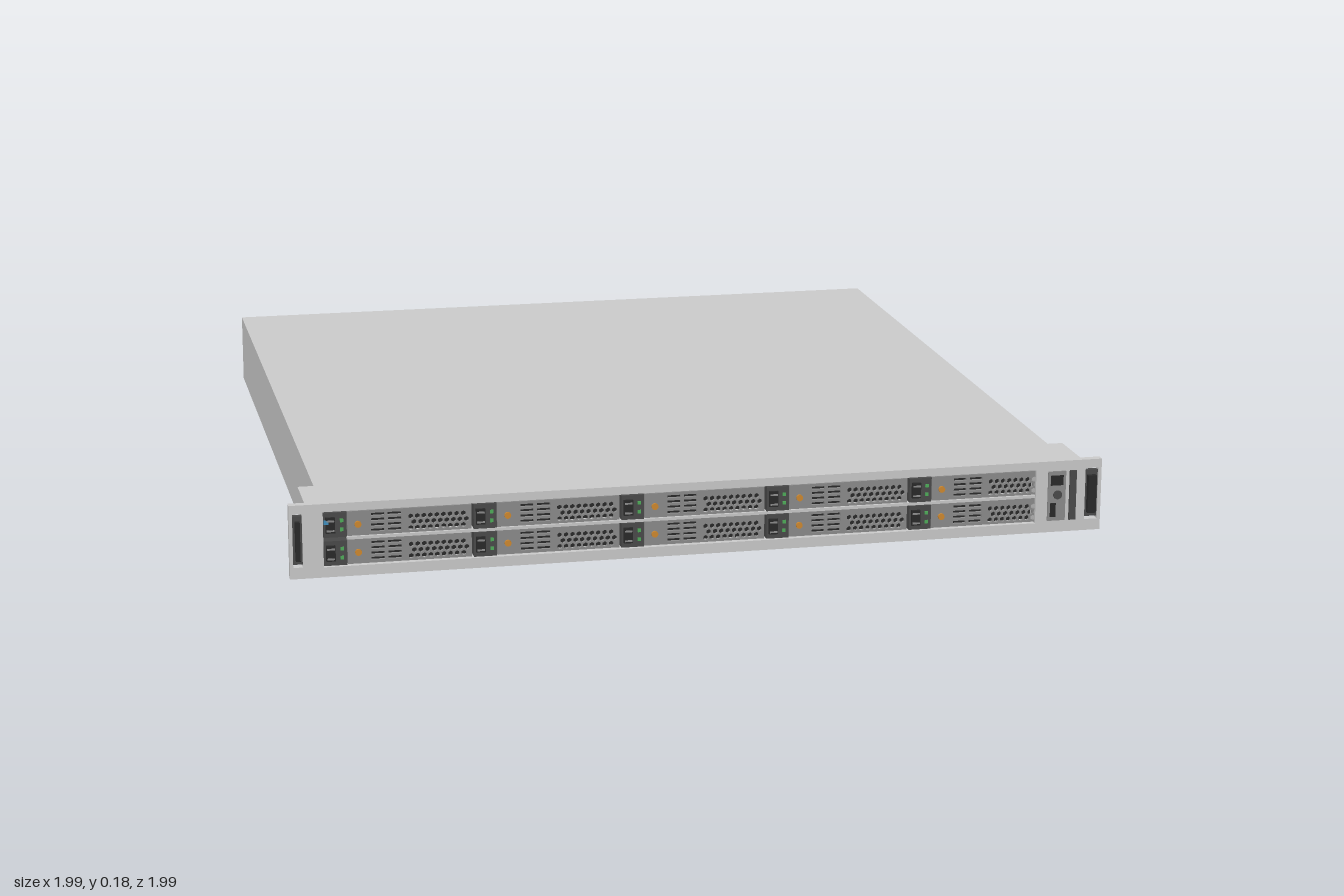
import * as THREE from 'three';

const mat = (color, side = THREE.FrontSide) => new THREE.MeshStandardMaterial({ color, side });
const grey = mat(0xcccccc), mid = mat(0x8c8c8c), dark = mat(0x4a4a4a), black = mat(0x2a2a2a);
const orange = mat(0xd08a30), green = mat(0x4fae5a), blue = mat(0x3f8fc0);

function add(parent, name, geometry, material, x = 0, y = 0, z = 0) {
  const m = new THREE.Mesh(geometry, material);
  m.name = name;
  m.position.set(x, y, z);
  parent.add(m);
  return m;
}

// Box given by its limits on each axis
function box(parent, name, material, [x0, x1], [y0, y1], [z0, z1]) {
  return add(parent, name, new THREE.BoxGeometry(x1 - x0, y1 - y0, z1 - z0), material,
    (x0 + x1) / 2, (y0 + y1) / 2, (z0 + z1) / 2);
}

function rectPath(x0, x1, y0, y1, PathType = THREE.Path) {
  return new PathType([[x0, y0], [x1, y0], [x1, y1], [x0, y1]].map(p => new THREE.Vector2(...p)));
}

function polyPath(cx, cy, r, n) {
  const pts = [];
  for (let i = 0; i < n; i++) {
    const a = (i + 0.5) / n * Math.PI * 2;
    pts.push(new THREE.Vector2(cx + r * Math.cos(a), cy + r * Math.sin(a)));
  }
  return new THREE.Path(pts);
}

// Flat plate with holes, from z = 0 to z = depth
function plate(x0, x1, y0, y1, depth, holes) {
  const s = rectPath(x0, x1, y0, y1, THREE.Shape);
  s.holes.push(...holes);
  return new THREE.ExtrudeGeometry(s, { depth, bevelEnabled: false, curveSegments: 16 });
}

// Staggered rows of hexagonal holes
function hexHoles(x0, x1, y0, y1, r) {
  const holes = [], dx = r * 2.3, dy = r * 2.1;
  const rows = Math.floor((y1 - y0 - 2 * r) / dy) + 1;
  for (let j = 0; j < rows; j++) {
    for (let x = x0 + r * 1.1 + (j % 2) * dx / 2; x < x1 - r; x += dx) {
      holes.push(polyPath(x, y0 + r * 1.1 + j * dy, r, 6));
    }
  }
  return holes;
}

const H = 0.18, X0 = -0.92, X1 = 0.91, BACK = -0.925, FRONT = 0.985;

function buildChassis(g) {
  box(g, 'chassisBody', grey, [X0, X1], [0, H], [BACK + 0.03, 0.94]);
  // Front frame around the drive bays
  add(g, 'frontFrame', plate(X0, X1, 0, H, FRONT - 0.94,
    [rectPath(-0.917, 0.83, 0.025, 0.16)]), grey, 0, 0, 0.94);
  box(g, 'bayBackWall', black, [-0.917, 0.83], [0.025, 0.16], [0.938, 0.945]);
  box(g, 'bayDivider', grey, [-0.86, 0.83], [0.088, 0.095], [0.945, 0.98]);
  // Rack ears with a bracket behind and a pocketed flange
  for (const s of [-1, 1]) {
    const inner = s < 0 ? X0 : X1, mid1 = s < 0 ? -0.958 : 0.948, outer = s * 0.997;
    const span = (a, b) => [Math.min(a, b), Math.max(a, b)];
    box(g, 'earBracket', grey, span(inner, mid1), [0, H], [0.83, FRONT]);
    const [a, b] = span(mid1, outer);
    add(g, 'earFlange', plate(a, b, 0, H, 0.02,
      [rectPath(a + 0.008, b - 0.008, 0.028, 0.158)]), grey, 0, 0, 0.965);
    box(g, 'earLatch', dark, [a + 0.008, b - 0.008], [0.034, 0.152], [0.967, 0.98]);
    box(g, 'earLatchGrip', black, [a + 0.014, b - 0.014], [0.045, 0.14], [0.98, 0.993]);
  }
}

// One drive carrier, with its origin at the lower left of the bay
const meshPlate = plate(0.2, 0.355, 0, 0.06, 0.008, hexHoles(0.203, 0.352, 0.003, 0.058, 0.0068));
const slotHoles = [];
for (let c = 0; c < 2; c++) for (let r = 0; r < 4; r++) {
  slotHoles.push(rectPath(0.116 + c * 0.04, 0.148 + c * 0.04, 0.007 + r * 0.013, 0.014 + r * 0.013));
}
const slotPlate = plate(0.105, 0.2, 0, 0.06, 0.008, slotHoles);

function buildDrive() {
  const d = new THREE.Group();
  d.name = 'driveCarrier';
  box(d, 'releaseLatch', dark, [0.003, 0.058], [0, 0.06], [0.945, 0.982]);
  box(d, 'latchLever', black, [0.008, 0.03], [0.012, 0.05], [0.982, 0.989]);
  for (const y of [0.016, 0.04]) box(d, 'latchRib', mid, [0.01, 0.028], [y, y + 0.004], [0.989, 0.991]);
  box(d, 'statusLightUpper', green, [0.042, 0.05], [0.037, 0.045], [0.982, 0.985]);
  box(d, 'statusLightLower', green, [0.042, 0.05], [0.015, 0.023], [0.982, 0.985]);
  box(d, 'carrierFace', mid, [0.06, 0.105], [0, 0.06], [0.945, 0.977]);
  const b = add(d, 'releaseButton', new THREE.CylinderGeometry(0.008, 0.008, 0.006, 16), orange, 0.085, 0.028, 0.979);
  b.rotation.x = Math.PI / 2;
  add(d, 'carrierSlots', slotPlate, mid, 0, 0, 0.969);
  add(d, 'carrierMesh', meshPlate, mid, 0, 0, 0.969);
  return d;
}

function buildFront(g) {
  for (let c = 0; c < 5; c++) for (const y of [0.027, 0.096]) {
    const d = buildDrive();
    d.position.set(-0.919 + c * 0.3565, y, 0);
    g.add(d);
  }
  box(g, 'powerLight', blue, [-0.916, -0.905], [0.13, 0.14], [0.985, 0.99]);
  // Control panel at the end of the bays
  box(g, 'controlPanel', mid, [0.86, 0.905], [0.03, 0.155], [0.98, 0.989]);
  box(g, 'controlStrip', dark, [0.915, 0.932], [0.03, 0.155], [0.98, 0.99]);
  box(g, 'usbPort', black, [0.866, 0.88], [0.04, 0.075], [0.985, 0.991]);
  box(g, 'panelSocket', black, [0.866, 0.898], [0.12, 0.145], [0.985, 0.991]);
  const p = add(g, 'powerButton', new THREE.CylinderGeometry(0.011, 0.011, 0.008, 20), dark, 0.884, 0.096, 0.989);
  p.rotation.x = Math.PI / 2;
}

// One power supply, with its origin at the lower right corner of its bay
function buildPowerSupply() {
  const s = new THREE.Group();
  s.name = 'powerSupply';
  const holes = [];
  // Fan guard: rings of holes around a hub
  for (let r = 0; r < 3; r++) {
    const n = 12 + r * 6, R = 0.029 + r * 0.014;
    for (let i = 0; i < n; i++) {
      const a = i / n * Math.PI * 2;
      holes.push(polyPath(0.08 + R * Math.cos(a), 0.088 + R * Math.sin(a), 0.0055, 6));
    }
  }
  holes.push(rectPath(0.222, 0.29, 0.035, 0.085));
  add(s, 'supplyFace', plate(0.004, 0.302, 0.008, 0.172, 0.01, holes), grey, 0, 0, BACK);
  add(s, 'fanRim', new THREE.TorusGeometry(0.066, 0.003, 8, 40), mid, 0.08, 0.088, BACK);
  box(s, 'powerSocket', black, [0.222, 0.29], [0.035, 0.085], [BACK + 0.008, BACK + 0.025]);
  for (const x of [0.238, 0.256, 0.274]) {
    box(s, 'socketPin', grey, [x - 0.003, x + 0.003], [0.052, 0.068], [BACK, BACK + 0.012]);
  }
  // Hooked pull handle
  const path = new THREE.CurvePath();
  const v = (y, z) => new THREE.Vector3(0.181, y, z);
  path.add(new THREE.LineCurve3(v(0.147, BACK + 0.01), v(0.147, -0.97)));
  path.add(new THREE.QuadraticBezierCurve3(v(0.147, -0.97), v(0.147, -0.992), v(0.125, -0.992)));
  path.add(new THREE.LineCurve3(v(0.125, -0.992), v(0.055, -0.992)));
  add(s, 'pullHandle', new THREE.TubeGeometry(path, 40, 0.008, 10), grey);
  const cap = add(s, 'handleEnd', new THREE.CircleGeometry(0.008, 10), grey, 0.181, 0.055, -0.992);
  cap.rotation.x = Math.PI / 2;
  // Release latch with a small bent lever
  box(s, 'releaseTab', orange, [0.273, 0.281], [0.078, 0.118], [-0.962, BACK]);
  box(s, 'latchArm', grey, [0.281, 0.305], [0.088, 0.11], [-0.955, -0.948]);
  box(s, 'latchFoot', grey, [0.3, 0.306], [0.088, 0.11], [-0.955, BACK]);
  box(s, 'latchBlock', orange, [0.24, 0.273], [0.1, 0.13], [-0.932, BACK + 0.002]);
  return s;
}

function buildRear(g) {
  for (const x of [-0.92, -0.61]) {
    const s = buildPowerSupply();
    s.position.x = x;
    g.add(s);
  }
  // Shell around the supplies and the back wall behind every opening
  box(g, 'rearRoof', grey, [X0, -0.29], [0.172, H], [BACK, -0.89]);
  box(g, 'rearFloor', grey, [X0, -0.29], [0, 0.008], [BACK, -0.89]);
  for (const x of [X0, -0.617, -0.308]) box(g, 'rearWall', grey, [x, x + 0.009], [0, H], [BACK, -0.89]);
  box(g, 'rearBackWall', dark, [X0 + 0.005, X1 - 0.005], [0.005, 0.175], [-0.9, -0.893]);

  // Input/output panel: a row of ports below, vents above
  const ports = [0.73, 0.6, 0.475, 0.35, 0.22, 0.09, -0.05, -0.18];
  const holes = ports.map(x => rectPath(x - 0.045, x + 0.045, 0.018, 0.072));
  for (let x = 0.21; x < 0.885; x += 0.018) for (const y of [0.108, 0.138]) {
    holes.push(rectPath(x, x + 0.01, y, y + 0.024));
  }
  holes.push(...hexHoles(0.03, 0.18, 0.095, 0.168, 0.0068));
  for (let x = -0.265; x < 0; x += 0.018) for (const y of [0.108, 0.138]) {
    holes.push(rectPath(x, x + 0.01, y, y + 0.024));
  }
  for (const [x, y] of [[0.84, 0.03], [0.84, 0.062], [0.875, 0.045]]) holes.push(polyPath(x, y, 0.009, 12));
  add(g, 'rearPanel', plate(-0.299, X1, 0, H, 0.03, holes), grey, 0, 0, BACK);
  for (const x of ports) {
    box(g, 'portLining', grey, [x - 0.045, x + 0.045], [0.018, 0.072], [-0.905, -0.9]);
    box(g, 'portTongue', mid, [x - 0.03, x + 0.03], [0.045, 0.053], [-0.922, -0.9]);
  }
  // Raised lips of the expansion brackets
  for (const [a, b, d] of [[-0.25, 0.09, 0.008], [0.21, 0.52, 0.008], [0.55, 0.86, 0.012]]) {
    box(g, 'bracketLipTop', grey, [a, b], [0.167, 0.175], [BACK - d, BACK]);
    box(g, 'bracketLipBottom', grey, [a, b], [0.088, 0.096], [BACK - d, BACK]);
  }
}

export function createModel() {
  const g = new THREE.Group();
  g.name = 'rackServer';
  for (const [name, build] of [['chassis', buildChassis], ['frontPanel', buildFront], ['rearPanelAssembly', buildRear]]) {
    const part = new THREE.Group();
    part.name = name;
    build(part);
    g.add(part);
  }
  return g;
}
